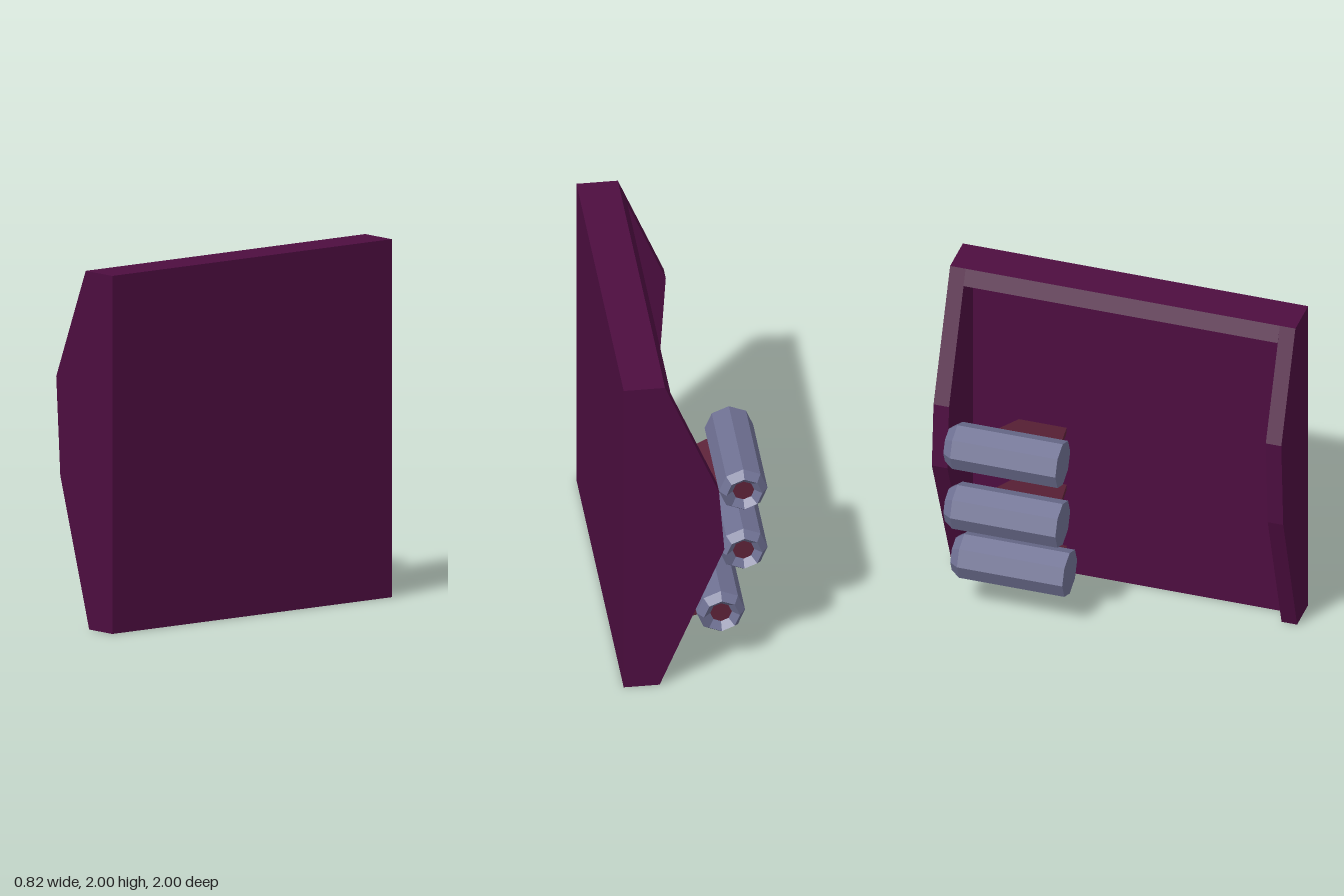
import * as THREE from 'three';

const mat = (name, color) => {
  const m = new THREE.MeshStandardMaterial({ color, flatShading: true });
  m.name = name;
  return m;
};

export function createModel() {
  const plum = mat('plum panel', 0x4d0d40);
  const steel = mat('blue grey steel', 0x6e7092);
  const maroon = mat('maroon', 0x5c2238);

  const model = new THREE.Group();
  model.name = 'wallUnit';
  const add = (parent, name, geometry, material, x = 0, y = 0, z = 0) => {
    const mesh = new THREE.Mesh(geometry, material);
    mesh.name = name;
    mesh.position.set(x, y, z);
    parent.add(mesh);
    return mesh;
  };

  const inner = 0.31; // inner face of the back board
  const wall = 0.09;  // thickness of cheeks and lip
  const slab = (points, depth) => new THREE.ExtrudeGeometry(
    new THREE.Shape(points.map(([x, y]) => new THREE.Vector2(x, y))),
    { depth, bevelEnabled: false });

  // Flat board
  add(model, 'board', new THREE.BoxGeometry(0.41 - inner, 2, 2), plum, (0.41 + inner) / 2, 1, 0);

  // Angled cheeks at both ends, the rear one slightly deeper
  add(model, 'frontCheek', slab([[0.21, 0], [inner, 0], [inner, 2], [0.18, 2],
    [-0.075, 1.38], [-0.04, 0.83]], wall), plum, 0, 0, 1 - wall);
  add(model, 'rearCheek', slab([[0.21, 0], [inner, 0], [inner, 2], [0.18, 2],
    [-0.12, 1.27], [-0.15, 0.88]], wall), plum, 0, 0, -1);

  // Sloping lip along the top
  add(model, 'topLip', slab([[0.14, 2 - wall], [inner, 2 - wall], [inner, 2], [0.18, 2]],
    2 - 2 * wall), plum, 0, 0, -1 + wall);

  // Eight-sided thruster with a chamfered, recessed mouth facing -z
  const thrusterGeo = new THREE.LatheGeometry(
    [[0, 0.2], [0.135, 0.2], [0.135, 0.81], [0.1, 0.86], [0.06, 0.82]]
      .map(([r, h]) => new THREE.Vector2(r, h)), 8).rotateX(-Math.PI / 2);
  const mouthGeo = new THREE.CircleGeometry(0.061, 8).rotateY(Math.PI);

  // Tapered strut from the thruster axis (wide) to the board (narrow)
  const strutGeo = (dx, dy) => {
    const length = Math.hypot(dx, dy);
    const g = new THREE.BoxGeometry(length, 0.04, 1);
    const p = g.attributes.position;
    for (let i = 0; i < p.count; i++) {
      p.setZ(i, Math.sign(p.getZ(i)) * (p.getX(i) < 0 ? 0.26 : 0.135));
    }
    g.rotateZ(Math.atan2(dy, dx));
    g.computeVertexNormals();
    return g;
  };

  [[-0.28, 1.14, 0.94], [-0.28, 0.74, 0.56], [-0.155, 0.33, 0.15]].forEach(([x, y, footY], i) => {
    const unit = new THREE.Group();
    unit.name = `thrusterUnit${i + 1}`;
    model.add(unit);
    add(unit, 'thruster', thrusterGeo, steel, x, y, 0);
    add(unit, 'mouth', mouthGeo, maroon, x, y, -0.82);
    add(unit, 'strut', strutGeo(inner + 0.01 - x, footY - y), maroon,
      (x + inner + 0.01) / 2, (y + footY) / 2, -0.505);
  });

  return model;
}
